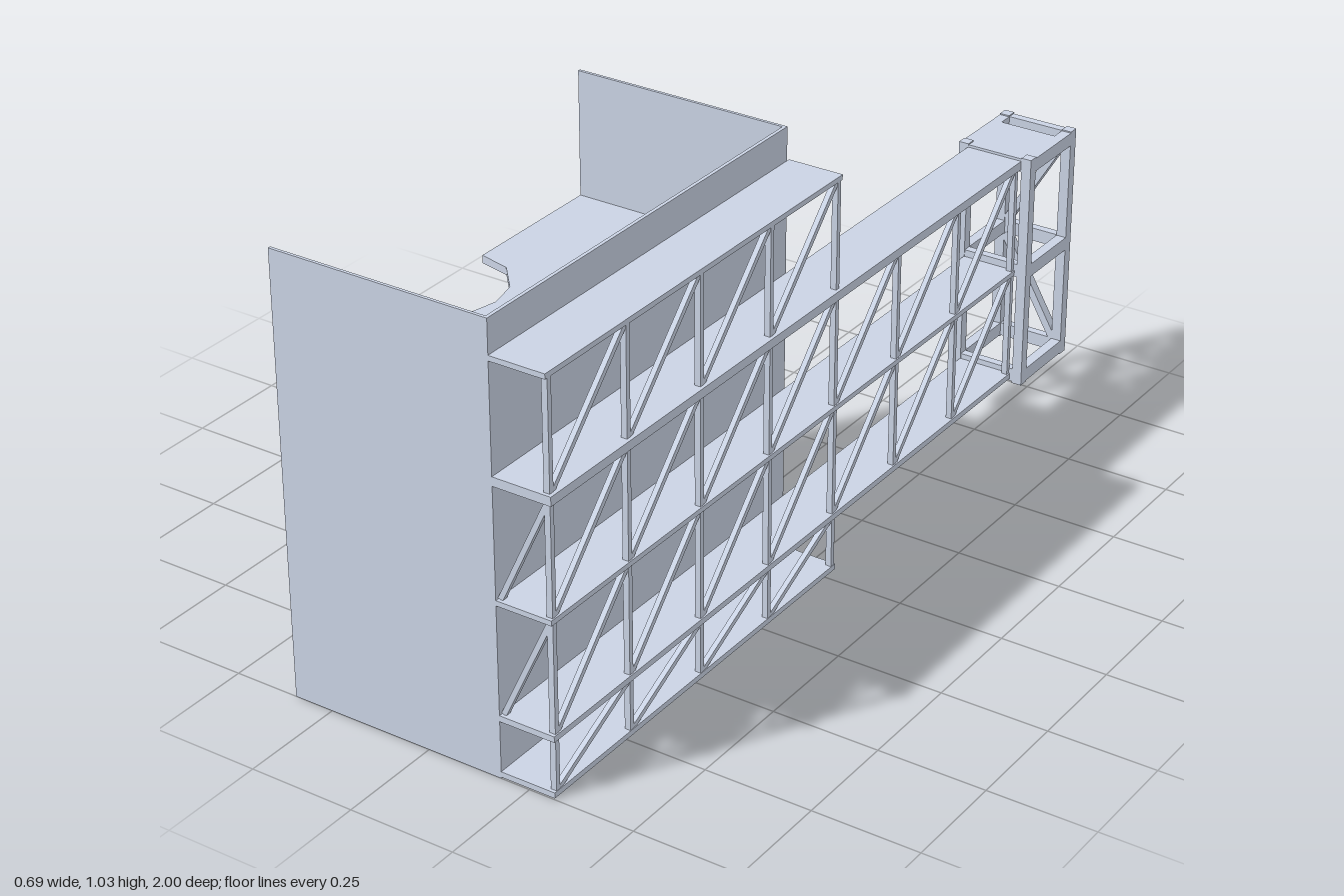
import * as THREE from 'three';

export function createModel() {
  const root = new THREE.Group();
  const steel = new THREE.MeshStandardMaterial({ color: 0xcad3e4 });
  steel.name = 'steel grey';

  function group(name) {
    const g = new THREE.Group();
    g.name = name;
    root.add(g);
    return g;
  }

  // Box given by its minimum and maximum corners
  function box(parent, name, x0, x1, y0, y1, z0, z1) {
    const m = new THREE.Mesh(new THREE.BoxGeometry(x1 - x0, y1 - y0, z1 - z0), steel);
    m.position.set((x0 + x1) / 2, (y0 + y1) / 2, (z0 + z1) / 2);
    m.name = name;
    parent.add(m);
  }

  // Square bar between two points
  function bar(parent, name, a, b, w, d = w) {
    const p = new THREE.Vector3(...a), q = new THREE.Vector3(...b);
    const m = new THREE.Mesh(new THREE.BoxGeometry(w, d, p.distanceTo(q)), steel);
    m.position.copy(p).add(q).multiplyScalar(0.5);
    m.lookAt(q);
    m.name = name;
    parent.add(m);
  }

  // Enclosure: three thin walls, open on one side
  const walls = group('walls');
  box(walls, 'frontWall', -0.345, 0.181, 0, 1.03, 0.993, 1);
  box(walls, 'backWall', -0.345, 0.181, 0, 1.03, -0.03, -0.023);
  box(walls, 'sideWall', 0.173, 0.181, 0, 1.03, -0.023, 0.993);

  // Floors with a rounded bay cut into the open edge; the lowest sits above the wall feet
  const outline = new THREE.Shape([
    [-0.345, -0.023], [0.173, -0.023], [0.173, 0.993], [-0.345, 0.993],
    [-0.345, 0.637], [-0.27, 0.617], [-0.21, 0.552], [-0.194, 0.485],
    [-0.21, 0.415], [-0.27, 0.347], [-0.345, 0.33],
  ].map(([x, z]) => new THREE.Vector2(x, z)));
  const floorGeo = new THREE.ExtrudeGeometry(outline, { depth: 0.018, bevelEnabled: false });
  floorGeo.rotateX(Math.PI / 2);
  const floors = group('floors');
  for (let i = 0; i < 4; i++) {
    const floor = new THREE.Mesh(floorGeo, steel);
    floor.position.y = 0.055 + i * 0.227;
    floor.name = 'floor';
    floors.add(floor);
  }

  // Walkway decks
  const decks = group('walkwayDecks');
  box(decks, 'bottomDeck', 0.181, 0.312, 0.003, 0.016, -0.038, 1);
  box(decks, 'lowerDeck', 0.181, 0.314, 0.135, 0.149, -0.8, 1);
  box(decks, 'middleDeck', 0.181, 0.314, 0.403, 0.415, -0.8, 1);
  box(decks, 'upperDeck', 0.181, 0.319, 0.67, 0.691, -0.8, 1);
  box(decks, 'topDeck', 0.181, 0.312, 0.94, 0.952, -0.038, 1);

  // Outer posts and diagonals, level by level: [bottom, top, number of bays]
  const truss = group('walkwayTruss');
  const first = 0.986, step = 0.2535, px = 0.304;
  [[0.016, 0.135, 4], [0.149, 0.403, 7], [0.415, 0.67, 7], [0.691, 0.94, 4]].forEach(([y0, y1, bays]) => {
    for (let i = 0; i <= bays; i++) {
      const z = first - i * step;
      box(truss, 'post', px - 0.007, px + 0.007, y0, y1, z - 0.006, z + 0.006);
      if (i < bays) bar(truss, 'diagonal', [px, y0, z - 0.006], [px, y1, z - step + 0.006], 0.012);
    }
  });
  // Cross braces closing the front end
  for (const [y0, y1] of [[0.149, 0.403], [0.415, 0.67]]) {
    bar(truss, 'endBrace', [0.186, y0, first], [px, y1, first], 0.012);
  }

  // End tower: corner posts, three rings of beams, landing plate, back braces
  const tower = group('endTower');
  const X0 = 0.159, X1 = 0.345, Z0 = -1, Z1 = -0.79, t = 0.024;
  for (const x of [X0, X1 - t]) {
    for (const z of [Z0, Z1 - t]) box(tower, 'cornerPost', x, x + t, 0.127, 0.7, z, z + t);
  }
  for (const y of [0.13, 0.4, 0.665]) {
    for (const x of [X0, X1 - t]) box(tower, 'sideBeam', x, x + t, y, y + 0.032, Z0 + t, Z1 - t);
    for (const z of [Z0 + 0.002, Z1 - t + 0.002]) {
      box(tower, 'crossBeam', X0 + t, X1 - t, y, y + 0.032, z, z + t - 0.004);
    }
  }
  box(tower, 'landingPlate', X0 + t, X1 - t, 0.678, 0.697, -0.942, Z1 - t + 0.002);
  bar(tower, 'upperBrace', [X0 + t, 0.43, -0.988], [X1 - t, 0.665, -0.988], 0.022, 0.018);
  bar(tower, 'lowerBrace', [X0 + t, 0.4, -0.988], [X1 - t, 0.162, -0.988], 0.022, 0.018);

  return root;
}
